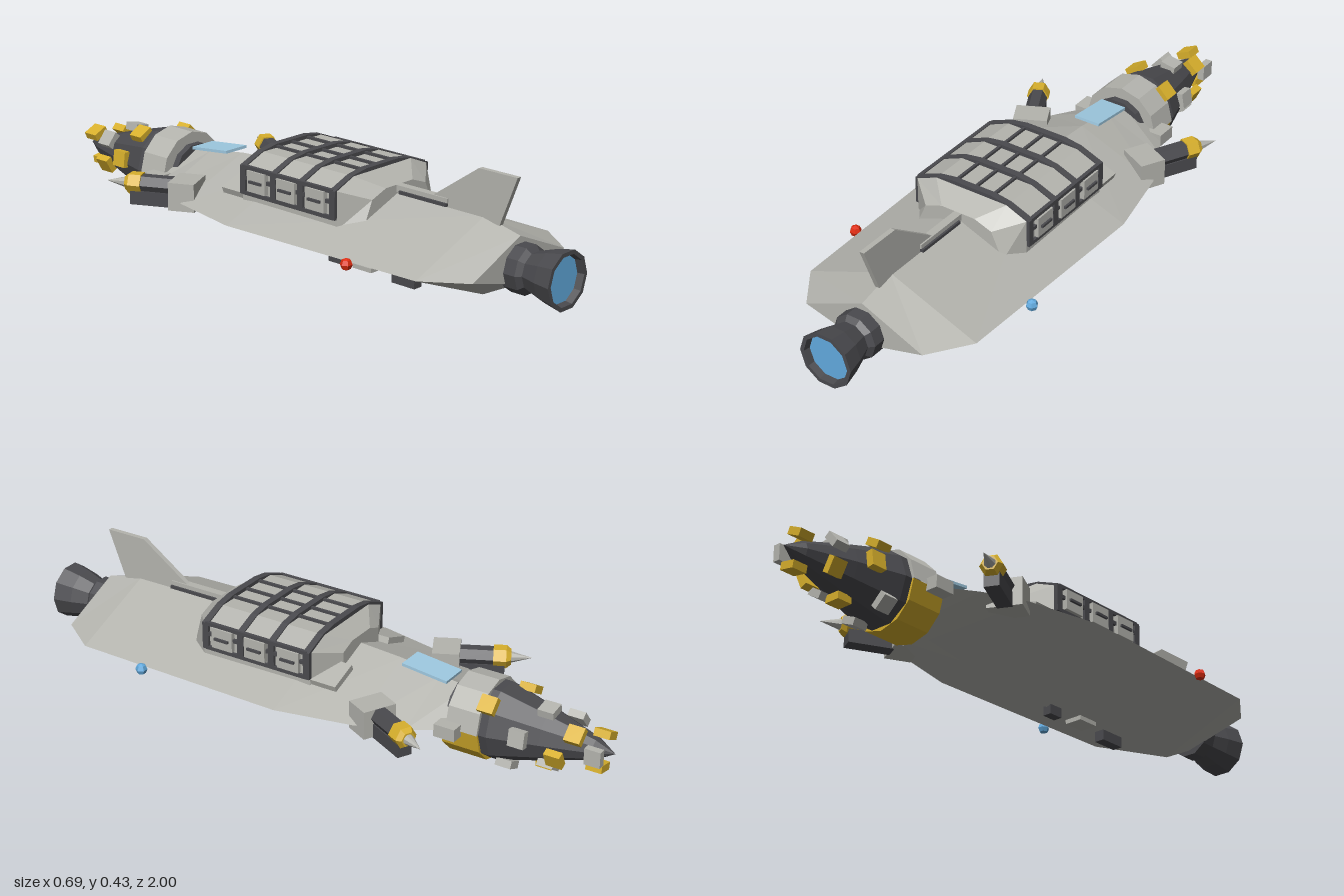
import * as THREE from 'three';

const mat = (name, color) => {
  const m = new THREE.MeshStandardMaterial({ color });
  m.name = name;
  return m;
};

export function createModel() {
  const root = new THREE.Group();
  root.name = 'drillShip';
  const grey = mat('light grey', 0xb4b4ae);
  const dark = mat('dark metal', 0x4a4a4e);
  const yellow = mat('yellow', 0xd8b02c);
  const blue = mat('engine blue', 0x62aade);
  const glass = mat('window blue', 0x9fcae2);
  const red = mat('red', 0xe02c10);
  const AXIS = 0.165; // height of the hull axis

  const add = (name, geo, material, parent = root, x = 0, y = 0, z = 0) => {
    const m = new THREE.Mesh(geo, material);
    m.name = name;
    m.position.set(x, y, z);
    parent.add(m);
    return m;
  };
  const box = (name, w, h, d, material, x, y, z, parent = root) =>
    add(name, new THREE.BoxGeometry(w, h, d), material, parent, x, y, z);
  const flat = (geo) => {
    const g = geo.index ? geo.toNonIndexed() : geo;
    g.computeVertexNormals();
    return g;
  };
  // Faceted body turned about z; profile is [radius, z] with z rising
  const turned = (profile, sides, start = Math.PI / sides, length = Math.PI * 2) =>
    flat(new THREE.LatheGeometry(profile.map(p => new THREE.Vector2(p[0], p[1])),
      Math.round(sides * length / (Math.PI * 2)), start, length).rotateX(Math.PI / 2));
  // Skin over matching rings, ordered from +z to -z
  const loft = (sections) => {
    const pos = [];
    const tri = (...pts) => pts.forEach(p => pos.push(...p));
    const n = sections[0].length;
    for (let i = 0; i < sections.length - 1; i++) {
      for (let j = 0; j < n; j++) {
        const k = (j + 1) % n;
        const a = sections[i][j], b = sections[i][k];
        const c = sections[i + 1][k], d = sections[i + 1][j];
        tri(a, d, c, a, c, b);
      }
    }
    const f = sections[0], e = sections[sections.length - 1];
    for (let j = 1; j < n - 1; j++) {
      tri(f[0], f[j], f[j + 1]);
      tri(e[0], e[j + 1], e[j]);
    }
    const g = new THREE.BufferGeometry();
    g.setAttribute('position', new THREE.Float32BufferAttribute(pos, 3));
    return flat(g);
  };

  // Diamond hull: z, half width, top, bottom
  const stations = [
    [0.83, 0.21, 0.255, 0.11], [0.70, 0.302, 0.285, 0.045], [-0.03, 0.322, 0.288, 0.03],
    [-0.28, 0.27, 0.272, 0.058], [-0.42, 0.21, 0.252, 0.078], [-0.51, 0.15, 0.24, 0.09],
  ];
  add('hull', loft(stations.map(([z, w, t, b]) =>
    [[w, AXIS, z], [0, t, z], [-w, AXIS, z], [0, b, z]])), grey);
  box('noseCrossbar', 0.33, 0.04, 0.07, grey, 0, AXIS, -0.525);
  box('window', 0.09, 0.009, 0.155, glass, 0, 0.268, -0.385).rotation.x = -0.11;

  // Engine
  add('nozzle', turned([[0, 0.82], [0.075, 0.82], [0.075, 0.87], [0.06, 0.885], [0.078, 0.94],
    [0.091, 1], [0.078, 1], [0.071, 0.96]], 10), dark, root, 0, 0.161);
  add('engineGlow', turned([[0.075, 0.978], [0, 0.978]], 10), blue, root, 0, 0.161);

  // Tail fin and spine
  const finShape = new THREE.Shape([[-0.82, 0.425], [-0.76, 0.27], [-0.5, 0.275], [-0.5, 0.3],
    [-0.68, 0.425]].map(p => new THREE.Vector2(p[0], p[1])));
  add('tailFin', new THREE.ExtrudeGeometry(finShape, { depth: 0.016, bevelEnabled: false })
    .translate(0, 0, -0.008).rotateY(Math.PI / 2), grey);
  box('spine', 0.04, 0.01, 0.18, dark, 0, 0.291, 0.48);
  box('spineCap', 0.026, 0.022, 0.2, grey, 0, 0.299, 0.47);

  // Cargo bay
  const ring = (z, w, side, wTop, top, base = 0.2) => [[w, base, z], [w, side, z], [wTop, top, z],
    [-wTop, top, z], [-w, side, z], [-w, base, z]];
  const rearEnd = ring(0.375, 0.12, 0.288, 0.06, 0.31);
  rearEnd[0][0] = 0.16;
  rearEnd[5][0] = -0.16;
  add('cargoBay', loft([rearEnd, ring(0.309, 0.2, 0.318, 0.128, 0.348),
    ring(-0.08, 0.2, 0.318, 0.128, 0.348), ring(-0.135, 0.1, 0.29, 0.05, 0.31)]), grey);
  const rib = z => [[0.209, 0.23, z], [0.209, 0.319, z], [0.13, 0.3505, z], [0.07, 0.36, z],
    [-0.07, 0.36, z], [-0.13, 0.3505, z], [-0.209, 0.319, z], [-0.209, 0.23, z]];
  for (const z of [-0.072, 0.055, 0.168, 0.297]) add('cargoRib', loft([rib(z + 0.011), rib(z - 0.011)]), dark);
  for (const x of [-0.068, 0, 0.068]) box('roofRail', 0.009, 0.012, 0.37, dark, x, 0.35, 0.112);
  for (const s of [-1, 1]) {
    for (const y of [0.235, 0.283, 0.316]) box('sideRail', 0.012, 0.012, 0.37, dark, s * 0.203, y, 0.112);
    for (const z of [-0.01, 0.112, 0.232]) {
      box('sidePanel', 0.02, 0.066, 0.075, grey, s * 0.205, 0.278, z);
      box('panelLatch', 0.008, 0.008, 0.05, dark, s * 0.218, 0.278, z);
    }
    box('bayStep', 0.1, 0.02, 0.09, grey, s * 0.15, 0.236, -0.125).rotation.z = -s * 0.35;
  }

  // Drill head
  add('drillNeck', turned([[0, -0.53], [0.095, -0.53], [0.095, -0.488], [0, -0.488]], 12), dark, root, 0, AXIS);
  const collar = (r, z) => [[0, -0.615], [r, -0.615], [r, z], [0, z]];
  add('collarTop', turned(collar(0.13, -0.51), 12, Math.PI / 2, Math.PI), grey, root, 0, AXIS);
  add('collarBottom', turned(collar(0.127, -0.49), 12, -Math.PI / 2, Math.PI), yellow, root, 0, AXIS);
  add('drillCone', turned([[0, -1], [0.034, -0.94], [0.08, -0.79], [0.121, -0.64], [0.121, -0.61],
    [0, -0.61]], 10), dark, root, 0, AXIS);
  // Drill teeth: angle in degrees, z, colour
  const teeth = [
    [45, -0.63, yellow], [120, -0.69, yellow], [-67, -0.675, grey], [-132, -0.68, grey],
    [10, -0.735, grey], [172, -0.74, yellow], [-90, -0.785, yellow], [80, -0.79, grey],
    [-58, -0.81, grey], [-25, -0.84, yellow], [140, -0.85, grey], [48, -0.89, yellow],
    [-150, -0.86, yellow], [115, -0.955, yellow], [0, -0.955, grey], [-80, -0.95, yellow],
  ];
  for (const [deg, z, m] of teeth) {
    const a = deg * Math.PI / 180;
    const r = 0.05 + (z + 0.95) * 0.25;
    box('drillTooth', 0.024, 0.052, 0.052, m, r * Math.cos(a), AXIS + r * Math.sin(a), z).rotation.z = a;
  }

  // Side drill arms and navigation lamps
  for (const s of [-1, 1]) {
    const arm = new THREE.Group();
    arm.name = s > 0 ? 'leftArm' : 'rightArm';
    arm.position.set(s * 0.222, 0.2, -0.325);
    arm.rotation.y = -s * 0.47;
    root.add(arm);
    box('armMount', 0.11, 0.09, 0.085, grey, 0, -0.018, 0.015, arm);
    box('armBeam', 0.048, 0.045, 0.145, dark, 0, -0.042, -0.0925, arm);
    add('armBarrel', turned([[0, -0.14], [0.031, -0.14], [0.031, -0.02], [0, -0.02]], 6), dark, arm);
    add('armCollar', turned([[0, -0.185], [0.024, -0.185], [0.036, -0.17], [0.036, -0.13], [0, -0.13]], 6), yellow, arm);
    add('armTip', turned([[0, -0.25], [0.019, -0.18], [0, -0.18]], 8), grey, arm);
    add(s > 0 ? 'leftLamp' : 'rightLamp', flat(new THREE.SphereGeometry(0.019, 6, 4)),
      s > 0 ? blue : red, root, s * 0.325, 0.163, 0.46);
  }

  // Belly fittings
  box('bellyPod', 0.034, 0.034, 0.09, dark, 0.004, 0.017, 0.405);
  box('bellyPlate', 0.06, 0.014, 0.075, grey, -0.005, 0.026, 0.26);
  box('bellySensor', 0.03, 0.035, 0.05, dark, 0, 0.025, 0.13);

  return root;
}
